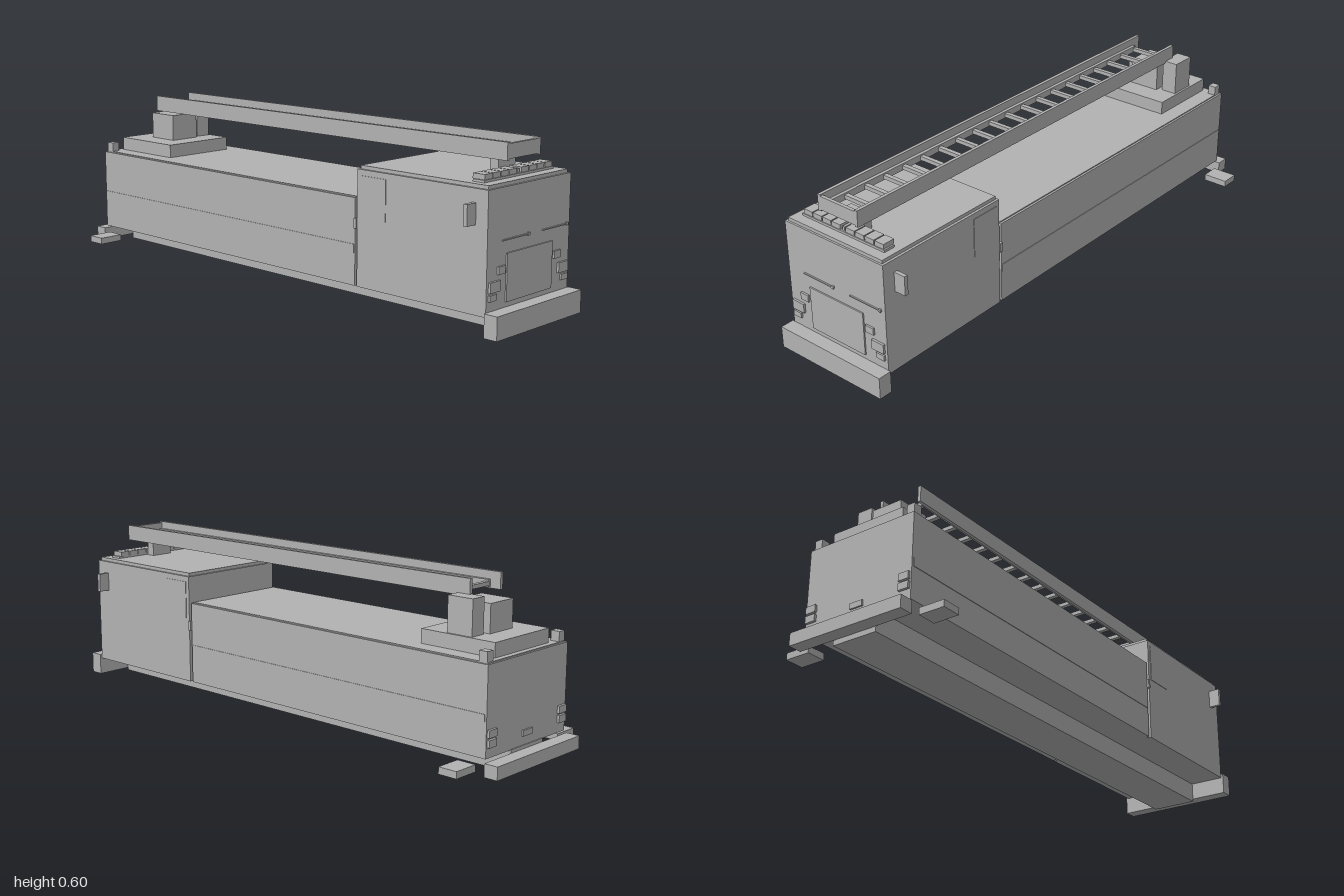
import * as THREE from 'three';

const grey = new THREE.MeshStandardMaterial({ color: 0xb2b2b2 });
grey.name = 'plain grey';

export function createModel() {
  const model = new THREE.Group();
  model.name = 'ladderTruck';

  // box given by its extents on each axis
  const box = (name, x0, x1, y0, y1, z0, z1) => {
    const mesh = new THREE.Mesh(new THREE.BoxGeometry(x1 - x0, y1 - y0, z1 - z0), grey);
    mesh.position.set((x0 + x1) / 2, (y0 + y1) / 2, (z0 + z1) / 2);
    mesh.name = name;
    model.add(mesh);
  };
  const centred = (name, halfWidth, ...yz) => box(name, -halfWidth, halfWidth, ...yz);
  const pair = (name, x0, x1, ...yz) => {
    box(name + 'Left', x0, x1, ...yz);
    box(name + 'Right', -x1, -x0, ...yz);
  };

  // chassis, bumpers and stabilisers
  centred('chassis', 0.086, 0, 0.075, -0.95, 0.95);
  centred('frontBumper', 0.225, 0.01, 0.088, 0.95, 1);
  centred('rearBumper', 0.225, 0.018, 0.063, -1, -0.95);
  pair('stabiliser', 0.225, 0.32, 0.028, 0.052, -0.917, -0.847);

  // cab and rear body
  centred('cab', 0.217, 0.073, 0.47, 0.415, 0.95);
  centred('cabRoof', 0.208, 0.47, 0.482, 0.422, 0.943);
  centred('cabJoint', 0.205, 0.073, 0.37, 0.403, 0.416);
  centred('rearBody', 0.215, 0.073, 0.372, -0.947, 0.404);
  centred('rearBodyRoof', 0.207, 0.372, 0.376, -0.94, 0.4);
  pair('bodyStripe', 0.214, 0.217, 0.185, 0.215, -0.94, 0.4);
  pair('cabWindow', 0.216, 0.219, 0.31, 0.45, 0.43, 0.54);
  pair('doorHandle', 0.205, 0.222, 0.27, 0.304, 0.404, 0.415);
  pair('mirror', 0.217, 0.26, 0.357, 0.426, 0.89, 0.904);

  // cab face
  centred('grille', 0.12, 0.105, 0.261, 0.95, 0.955);
  pair('headlight', 0.155, 0.207, 0.148, 0.182, 0.95, 0.958);
  pair('indicator', 0.172, 0.207, 0.121, 0.141, 0.95, 0.957);
  pair('upperLamp', 0.13, 0.165, 0.2, 0.225, 0.95, 0.957);
  for (const x of [-0.143, 0.065]) {
    box('wiper', x, x + 0.128, 0.302, 0.306, 0.95, 0.955);
    box('wiperPivot', x + 0.127, x + 0.137, 0.3, 0.309, 0.95, 0.957);
  }

  // roof light bar
  centred('lightBarBase', 0.182, 0.482, 0.49, 0.862, 0.906);
  for (const x of [0.012, 0.054, 0.096, 0.138]) {
    pair('lightBarLamp', x, x + 0.038, 0.49, 0.507, 0.857, 0.903);
  }
  centred('lightBarSensor', 0.005, 0.49, 0.504, 0.87, 0.9);

  // tail lamps and rear corner beacons
  pair('upperTailLamp', 0.17, 0.21, 0.14, 0.165, -0.956, -0.947);
  pair('lowerTailLamp', 0.17, 0.21, 0.108, 0.133, -0.956, -0.947);
  centred('rearPlate', 0.025, 0.105, 0.125, -0.953, -0.947);
  pair('cornerBeacon', 0.178, 0.208, 0.374, 0.41, -0.938, -0.906);

  // turntable
  centred('turntableBase', 0.145, 0.374, 0.425, -0.92, -0.628);
  centred('turntablePedestal', 0.06, 0.425, 0.523, -0.837, -0.712);
  box('operatorStation', 0.077, 0.137, 0.425, 0.547, -0.825, -0.727);

  // ladder
  centred('ladderRest', 0.044, 0.482, 0.538, 0.822, 0.855);
  pair('ladderRail', 0.075, 0.087, 0.54, 0.598, -0.775, 0.92);
  pair('ladderInnerRail', 0.063, 0.075, 0.546, 0.57, -0.735, 0.91);
  centred('ladderEndPlate', 0.076, 0.545, 0.593, 0.908, 0.92);
  for (let i = 0; i < 19; i++) {
    const z = -0.73 + i * 0.0862;
    centred('ladderRung', 0.065, 0.55, 0.564, z - 0.008, z + 0.008);
  }
  return model;
}
